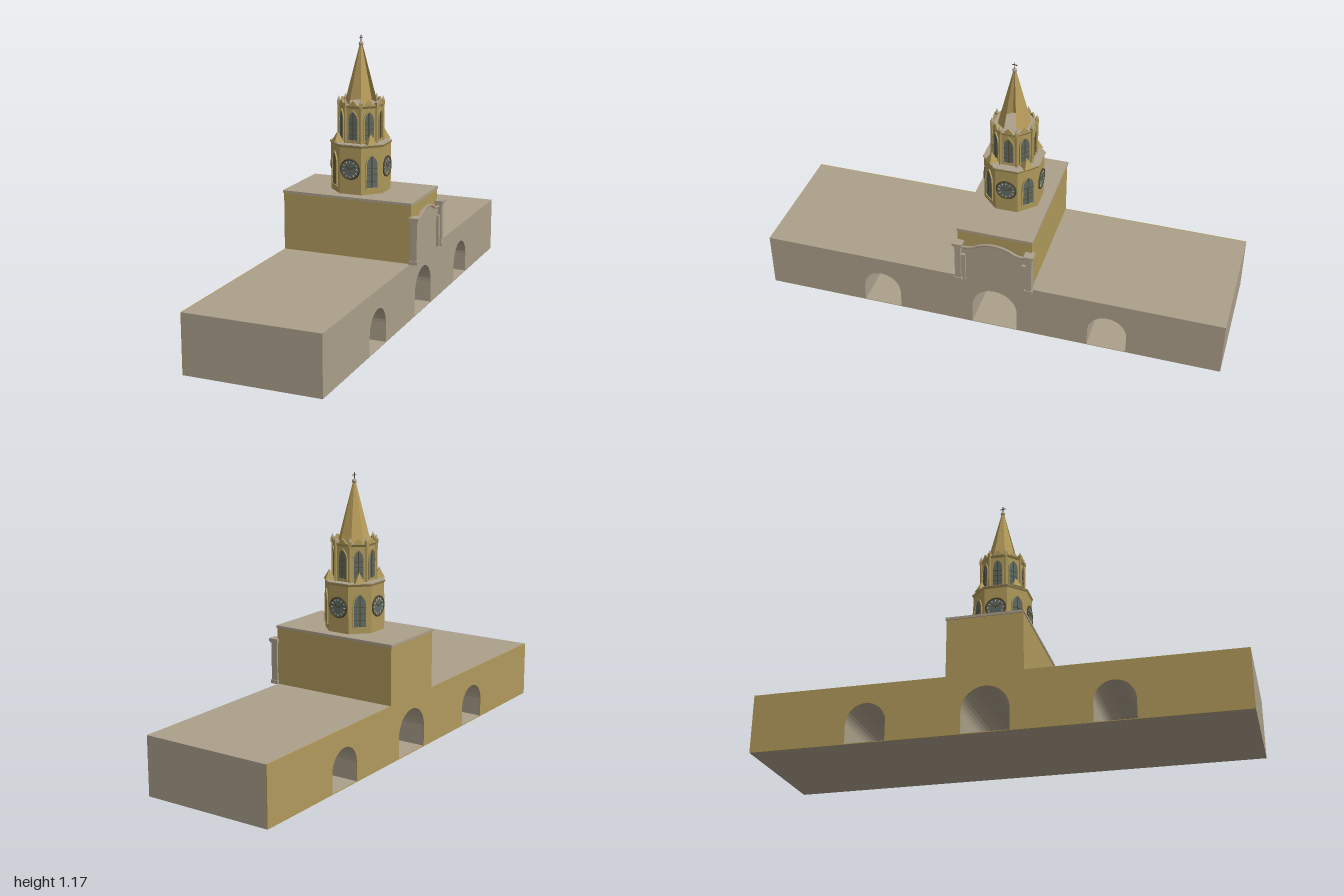
import * as THREE from 'three';

const paint = (name, color, opts = {}) => {
  const m = new THREE.MeshStandardMaterial({ color, ...opts });
  m.name = name;
  return m;
};
const stone = paint('grey stone', 0xaca08b);
const ochre = paint('ochre stone', 0xb09a5c);
const spireMat = paint('ochre spire', 0xb89c5a, { side: THREE.DoubleSide });
const glass = paint('slate glass', 0x606a64);
const dark = paint('dark bronze', 0x51482f);
const pale = paint('pale dial marks', 0xd8d2bc);

const D = Math.PI / 180, CX = 0.03, DEPTH = 0.58, LEN = 2.035;

export function createModel() {
  const root = new THREE.Group();
  const hall = new THREE.Group();
  hall.name = 'gatehouse';
  hall.rotation.y = 55 * D;
  root.add(hall);

  const add = (parent, name, geo, mat, x = 0, y = 0, z = 0) => {
    const m = new THREE.Mesh(geo, mat);
    m.name = name;
    m.position.set(x, y, z);
    parent.add(m);
    return m;
  };
  const box = (w, h, d) => new THREE.BoxGeometry(w, h, d);
  const flat = (g) => {
    const f = g.toNonIndexed();
    f.computeVertexNormals();
    return f;
  };
  const octagon = (r, h, r2 = r) => flat(new THREE.CylinderGeometry(r2, r, h, 8, 1, false, Math.PI / 8));
  const extrude = (shape, depth) => new THREE.ExtrudeGeometry(shape, { depth, bevelEnabled: false, curveSegments: 10 });

  // Long base with three arched passages
  const wall = new THREE.Shape();
  wall.moveTo(-LEN / 2, 0).lineTo(LEN / 2, 0).lineTo(LEN / 2, 0.25).lineTo(-LEN / 2, 0.25).closePath();
  for (const [x, r, spring] of [[-0.49, 0.085, 0.085], [0.027, 0.1, 0.096], [0.525, 0.085, 0.085]]) {
    const hole = new THREE.Path();
    hole.moveTo(x - r, 0.003).lineTo(x - r, spring);
    hole.absarc(x, spring, r, Math.PI, 0, true);
    hole.lineTo(x + r, 0.003).closePath();
    wall.holes.push(hole);
  }
  add(hall, 'base', extrude(wall, DEPTH - 0.004), stone, 0, 0, -DEPTH / 2 + 0.004);
  add(hall, 'backWall', extrude(wall, 0.004), ochre, 0, 0, -DEPTH / 2);

  // Central block and its roof slab
  add(hall, 'centralBlock', box(0.323, 0.25, DEPTH), ochre, CX, 0.375, 0);
  add(hall, 'centralRoof', box(0.33, 0.011, DEPTH + 0.008), stone, CX, 0.5055, 0);

  // Curved front gable between two pilasters
  const gableShape = (low, bottom) => {
    const s = new THREE.Shape();
    s.moveTo(-0.15, bottom).lineTo(0.15, bottom).lineTo(0.15, low);
    s.quadraticCurveTo(0.09, low + 0.003, 0.075, low + 0.018);
    s.quadraticCurveTo(0, low + 0.055, -0.075, low + 0.018);
    s.quadraticCurveTo(-0.09, low + 0.003, -0.15, low);
    return s;
  };
  add(hall, 'frontGable', extrude(gableShape(0.42, 0.25), 0.014), stone, CX, 0, 0.288);
  const curve = gableShape(0.425, 0.25).getPoints(8).slice(2);
  const rail = new THREE.CatmullRomCurve3(curve.map((p) => new THREE.Vector3(p.x, p.y, 0)));
  add(hall, 'gableMoulding', new THREE.TubeGeometry(rail, 32, 0.006, 6), stone, CX, 0, 0.304);
  for (const s of [-1, 1]) {
    const x = CX + s * 0.155;
    add(hall, 'pilaster', box(0.026, 0.19, 0.03), stone, x, 0.345, 0.305);
    add(hall, 'pilasterCap', box(0.042, 0.012, 0.044), stone, x, 0.446, 0.305);
    add(hall, 'pilasterNeck', box(0.034, 0.008, 0.036), stone, x, 0.436, 0.305);
    add(hall, 'pilasterFoot', box(0.034, 0.016, 0.036), stone, x, 0.258, 0.305);
    add(hall, 'sidePilaster', box(0.018, 0.14, 0.02), stone, x - s * 0.022, 0.32, 0.303);
  }

  // Tower stages
  const tower = new THREE.Group();
  tower.name = 'tower';
  tower.position.x = CX;
  hall.add(tower);
  add(tower, 'lowerStage', octagon(0.128, 0.21), ochre, 0, 0.615, 0);
  add(tower, 'lowerCornice', octagon(0.128, 0.01, 0.134), ochre, 0, 0.717, 0);
  add(tower, 'lowerRoof', octagon(0.132, 0.004), stone, 0, 0.723, 0);
  add(tower, 'upperStage', octagon(0.093, 0.16), ochre, 0, 0.802, 0);
  add(tower, 'upperCornice', octagon(0.093, 0.01, 0.1), ochre, 0, 0.879, 0);
  add(tower, 'upperRoof', octagon(0.098, 0.004), stone, 0, 0.885, 0);

  const at = (name, angle, r, y) => {
    const pivot = new THREE.Group(), g = new THREE.Group();
    pivot.rotation.y = angle * D;
    g.position.set(0, y, r);
    g.name = name;
    pivot.add(g);
    tower.add(pivot);
    return g;
  };

  // Pointed window with frame, mullion and bars
  const lancet = (w, h) => {
    const s = new THREE.Shape(), k = h - w * 0.95;
    s.moveTo(-w / 2, 0).lineTo(w / 2, 0).lineTo(w / 2, k);
    s.quadraticCurveTo(w / 2, k + w * 0.6, 0, h);
    s.quadraticCurveTo(-w / 2, k + w * 0.6, -w / 2, k);
    return s;
  };
  const addWindow = (g, w, h) => {
    const frame = lancet(w + 0.01, h + 0.01);
    frame.holes.push(new THREE.Path(lancet(w, h).getPoints(8).map((p) => p.setY(p.y + 0.004))));
    add(g, 'windowFrame', extrude(frame, 0.006), ochre, 0, -0.004, 0);
    add(g, 'windowGlass', extrude(lancet(w, h), 0.002), glass);
    add(g, 'mullion', box(0.003, h * 0.95, 0.003), dark, 0, h * 0.475, 0.003);
    for (const f of [0.2, 0.4, 0.6]) add(g, 'windowBar', box(w, 0.002, 0.002), dark, 0, h * f, 0.003);
  };

  // Clock dial with ring, hour marks and hands
  const addClock = (g) => {
    add(g, 'clockFace', new THREE.CylinderGeometry(0.042, 0.042, 0.004, 32).rotateX(Math.PI / 2), glass, 0, 0, 0.001);
    add(g, 'clockRing', new THREE.TorusGeometry(0.042, 0.004, 6, 32), dark, 0, 0, 0.002);
    for (let i = 0; i < 12; i++) {
      const a = i * 30 * D;
      add(g, 'hourMark', box(0.003, 0.009, 0.002), pale, Math.sin(a) * 0.032, Math.cos(a) * 0.032, 0.003).rotation.z = -a;
    }
    for (const [len, a] of [[0.03, 60], [0.022, -50]]) {
      add(g, 'clockHand', box(0.004, len, 0.002), dark, Math.sin(a * D) * len / 2, Math.cos(a * D) * len / 2, 0.005).rotation.z = -a * D;
    }
  };

  const gable = new THREE.Shape();
  gable.moveTo(-0.026, 0).lineTo(0.026, 0).lineTo(0, 0.026).closePath();
  for (let i = 0; i < 8; i++) {
    const a = i * 45;
    if (i % 2 === 0) addClock(at('clock', a, 0.1185, 0.62));
    else {
      addWindow(at('lowerWindow', a, 0.1183, 0.54), 0.05, 0.14);
      add(at('lowerPinnacle', a, 0.107, 0.748), 'pinnacleRoof',
        flat(new THREE.ConeGeometry(0.03, 0.045, 4, 1, false, Math.PI / 4)), ochre);
    }
    addWindow(at('upperWindow', a, 0.086, 0.738), 0.04, 0.122);
    add(at('upperGable', a, 0.083, 0.882), 'gablePlate', extrude(gable, 0.008), ochre);
    // Corner shafts with small pinnacles
    const corner = at('cornerShaft', a + 22.5, 0.094, 0.724);
    add(corner, 'shaft', new THREE.CylinderGeometry(0.006, 0.006, 0.16, 8), ochre, 0, 0.08, 0);
    add(corner, 'shaftBlock', box(0.015, 0.018, 0.015), ochre, 0, 0.164, 0);
    add(corner, 'shaftTip', new THREE.ConeGeometry(0.007, 0.02, 8), stone, 0, 0.183, 0);
  }

  // Open spire: two of its eight sides are left out
  for (const [start, sides] of [[22.5, 5], [-67.5, 1]]) {
    add(tower, 'spire', flat(new THREE.CylinderGeometry(0.006, 0.07, 0.25, sides, 1, true, start * D, sides * 45 * D)),
      spireMat, 0, 1.01, 0);
  }
  add(tower, 'finialBall', new THREE.SphereGeometry(0.01, 16, 10), stone, 0, 1.138, 0);
  add(tower, 'crossPost', box(0.003, 0.036, 0.003), dark, 0, 1.156, 0);
  const bar = add(tower, 'crossArm', box(0.022, 0.003, 0.003), dark, 0, 1.163, 0);
  bar.rotation.y = -55 * D + 45 * D;

  return root;
}
